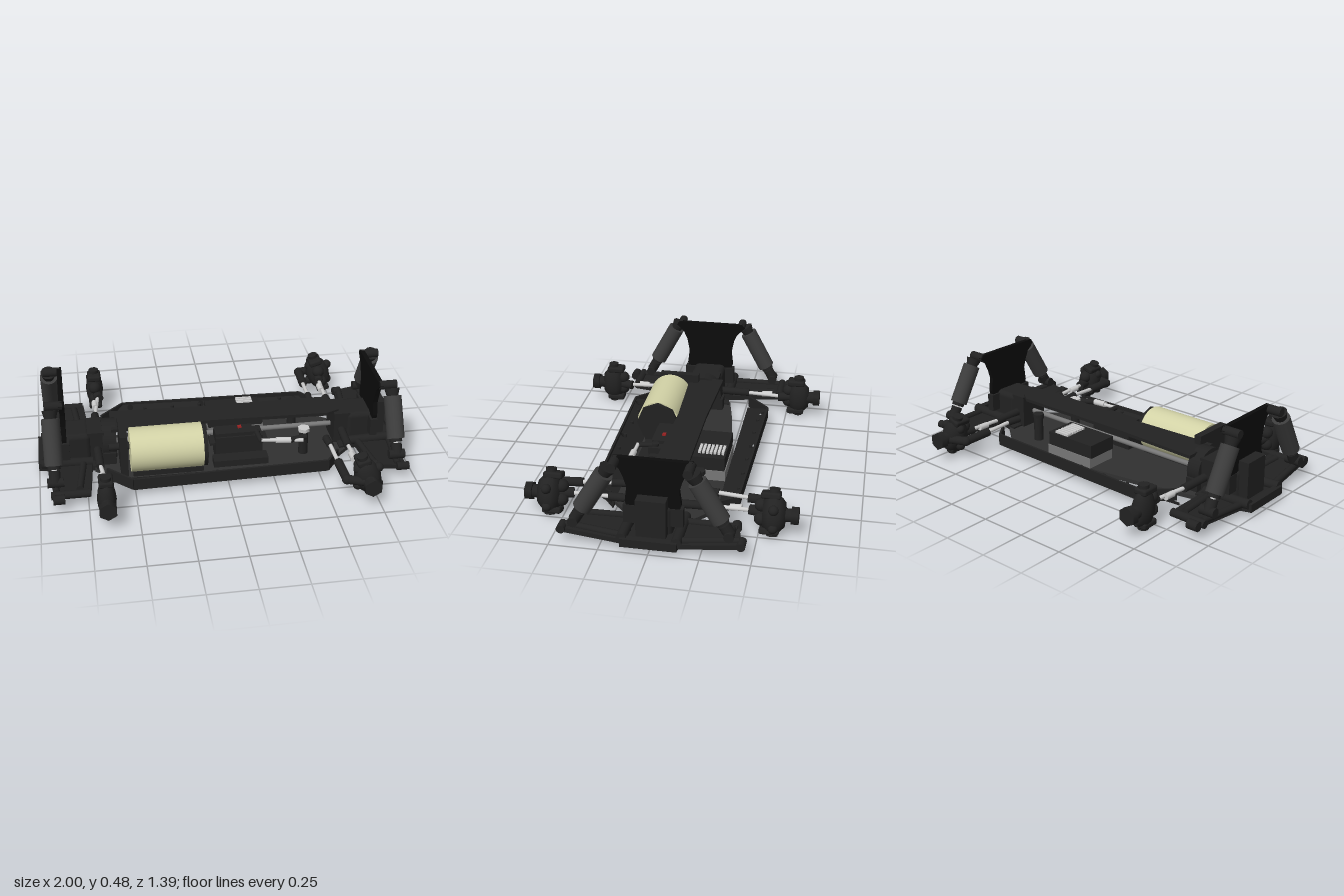
import * as THREE from 'three';
import { RoundedBoxGeometry } from 'three/addons/geometries/RoundedBoxGeometry.js';

const mat = (color) => new THREE.MeshStandardMaterial({ color });
const M = {
  black: mat(0x222222), deep: mat(0x0c0c0c), floor: mat(0x303030), shock: mat(0x3c3c3c),
  silver: mat(0xcccccc), khaki: mat(0xd2d2a6), grey: mat(0x777777), red: mat(0x992222),
};
const V = (x, y, z) => new THREE.Vector3(x, y, z);

export function createModel() {
  const root = new THREE.Group();
  root.name = 'buggyChassis';

  const add = (name, geo, m, parent = root) => {
    const mesh = new THREE.Mesh(geo, m);
    mesh.name = name;
    parent.add(mesh);
    return mesh;
  };
  // box given by its ranges
  const box = (name, x0, x1, y0, y1, z0, z1, m = M.black, parent = root) => {
    const mesh = add(name, new THREE.BoxGeometry(x1 - x0, y1 - y0, z1 - z0), m, parent);
    mesh.position.set((x0 + x1) / 2, (y0 + y1) / 2, (z0 + z1) / 2);
  };
  const soft = (name, x, y, z, w, h, d, r, parent) => {
    const mesh = add(name, new RoundedBoxGeometry(w, h, d, 2, r), M.black, parent);
    mesh.position.set(x, y, z);
  };
  // round bar between two points
  const rod = (name, a, b, r, m = M.black, parent = root, r2 = r, seg = 16) => {
    const dir = b.clone().sub(a);
    const mesh = add(name, new THREE.CylinderGeometry(r2, r, dir.length(), seg), m, parent);
    mesh.position.copy(a).add(b).multiplyScalar(0.5);
    mesh.quaternion.setFromUnitVectors(V(0, 1, 0), dir.normalize());
  };
  const ball = (name, p, r, parent) => {
    add(name, new THREE.SphereGeometry(r, 14, 10), M.black, parent).position.copy(p);
  };
  const shapeOf = (pts, holes = []) => {
    const s = new THREE.Shape(pts.map((p) => new THREE.Vector2(p[0], p[1])));
    for (const [x, y, r] of holes) s.holes.push(new THREE.Path().absarc(x, y, r, 0, Math.PI * 2, true));
    return s;
  };
  // flat plate from an (x, z) outline, optionally raised by a rule
  const plan = (name, pts, y, h, m = M.black, parent = root, holes = [], lift = null) => {
    const s = shapeOf(pts.map(([x, z]) => [x, -z]), holes.map(([x, z, r]) => [x, -z, r]));
    const g = new THREE.ExtrudeGeometry(s, { depth: h, bevelEnabled: false, curveSegments: 8 });
    g.rotateX(-Math.PI / 2).translate(0, y, 0);
    if (lift) {
      const p = g.attributes.position;
      for (let i = 0; i < p.count; i++) p.setY(i, p.getY(i) + lift(p.getX(i), p.getZ(i)));
      g.computeVertexNormals();
    }
    add(name, g, m, parent);
  };
  // upright plate from a (z, y) outline, extruded along x
  const upright = (name, pts, x, t, m, parent) => {
    const g = new THREE.ExtrudeGeometry(shapeOf(pts), { depth: t, bevelEnabled: false });
    g.rotateY(-Math.PI / 2).translate(x + t / 2, 0, 0);
    return add(name, g, m, parent);
  };
  const mirrorPts = (half) => [...half, ...half.map(([a, b]) => [-a, b]).reverse()];

  // floor pan, end plates and upper deck
  plan('floorPan', [[-0.7, -0.15], [-0.5, -0.19], [-0.04, -0.26], [0.55, -0.27], [0.72, -0.13], [0.78, -0.11],
    [0.78, 0.11], [0.72, 0.13], [0.57, 0.27], [-0.5, 0.29], [-0.7, 0.15]], 0.01, 0.022, M.floor);
  for (const s of [-1, 1]) {
    plan('endPlate', [[s * 0.66, -0.15], [s * 0.76, -0.13], [s * 0.88, -0.11], [s * 0.92, -0.15], [s * 0.99, -0.14],
      [s * 0.99, 0.14], [s * 0.92, 0.15], [s * 0.88, 0.11], [s * 0.76, 0.13], [s * 0.66, 0.15]],
    0.011, 0.03, M.black, root, [], (x) => Math.max(0, Math.abs(x) - 0.7) * 0.1);
    box('bumperLip', Math.min(s * 0.965, s), Math.max(s * 0.965, s), 0.04, 0.085, -0.14, 0.14);
  }
  plan('upperDeck', [[-0.6, -0.12], [-0.1, -0.1], [0.6, -0.1], [0.67, -0.05], [0.67, 0.05], [0.6, 0.08], [-0.1, 0.06], [-0.6, 0.08]],
    0.208, 0.018);

  // sloped side rails with mounting holes
  for (const s of [-1, 1]) {
    const rail = new THREE.Group();
    rail.name = 'sideRail';
    root.add(rail);
    plan('railPlate', [[-0.65, s * 0.265], [-0.51, s * 0.4], [-0.3, s * 0.4], [0.54, s * 0.375], [0.62, s * 0.265]],
      0.014, 0.016, M.black, rail, [[-0.465, s * 0.375, 0.017], [-0.05, s * 0.367, 0.017], [0.505, s * 0.35, 0.017]],
      (x, z) => (Math.abs(z) - 0.265) * 0.55);
    // outer flange along the rail
    for (const [a, b] of [[[-0.51, 0.4], [0.54, 0.375]], [[-0.64, 0.275], [-0.51, 0.4]], [[0.54, 0.375], [0.615, 0.275]]]) {
      const len = Math.hypot(b[0] - a[0], b[1] - a[1]);
      const wall = add('railFlange', new THREE.BoxGeometry(len, 0.065, 0.012), M.black, rail);
      wall.position.set((a[0] + b[0]) / 2, 0.078, s * (a[1] + b[1]) / 2);
      wall.rotation.y = -s * Math.atan2(b[1] - a[1], b[0] - a[0]);
    }
    for (let i = 0; i < 6; i++) {
      const x = -0.38 + i * 0.16;
      rod('railScrew', V(x, 0.07, s * 0.36), V(x, 0.092, s * 0.36), 0.01, M.black, rail);
    }
  }

  // motor with end bells and mount
  rod('motorCan', V(-0.51, 0.155, 0.18), V(-0.12, 0.155, 0.18), 0.12, M.khaki, root, 0.12, 40);
  rod('motorEndBell', V(-0.12, 0.155, 0.18), V(-0.098, 0.155, 0.18), 0.12, M.black, root, 0.12, 8);
  box('motorMount', -0.565, -0.525, 0.03, 0.275, 0.02, 0.25);
  box('motorCradle', -0.5, -0.12, 0.03, 0.06, 0.1, 0.26);
  rod('motorShaft', V(-0.62, 0.155, 0.14), V(-0.51, 0.155, 0.14), 0.02);

  // spur gear cover
  rod('gearCover', V(-0.65, 0.13, 0), V(-0.575, 0.13, 0), 0.11, M.black, root, 0.11, 24);
  box('gearCoverFoot', -0.65, -0.58, 0.03, 0.1, -0.12, 0.12);

  // speed controller with a vented top
  box('controllerBase', -0.04, 0.27, 0.032, 0.09, -0.265, -0.08, M.grey);
  box('controllerCase', -0.045, 0.265, 0.09, 0.165, -0.26, -0.08);
  for (let i = 0; i < 7; i++) box('coolingFin', 0.135, 0.225, 0.165, 0.178, -0.25 + i * 0.021, -0.236 + i * 0.021, M.silver);

  // servo, linkage and posts
  box('servoCase', -0.04, 0.22, 0.032, 0.17, 0.06, 0.165);
  box('servoFlange', -0.07, 0.25, 0.12, 0.135, 0.07, 0.155);
  box('servoTop', -0.04, 0.17, 0.17, 0.19, 0.07, 0.155);
  box('servoLead', 0.09, 0.11, 0.19, 0.2, 0.09, 0.11, M.red);
  box('servoBracket', -0.06, 0.24, 0.032, 0.07, 0.165, 0.24);
  rod('servoShaft', V(0.19, 0.15, 0.13), V(0.19, 0.185, 0.13), 0.02);
  rod('servoHorn', V(0.19, 0.175, 0.13), V(0.2, 0.17, 0.23), 0.014);
  rod('steeringLink', V(0.2, 0.175, 0.225), V(0.43, 0.16, 0.235), 0.01, M.silver);
  rod('linkTurnbuckle', V(0.28, 0.171, 0.23), V(0.36, 0.166, 0.233), 0.017, M.silver);
  rod('linkEnd', V(0.36, 0.166, 0.233), V(0.45, 0.16, 0.2), 0.016);
  for (const z of [-0.155, 0.155]) {
    rod('steeringPost', V(0.45, 0.03, z), V(0.45, 0.17, z), 0.026);
    rod('postCap', V(0.45, 0.17, z), V(0.45, 0.19, z), 0.034, z > 0 ? M.silver : M.black, root, 0.034, 6);
  }
  rod('driveShaft', V(-0.58, 0.11, 0), V(0.7, 0.11, 0), 0.014, M.grey);

  // wheel hub: caster-tilted oval carrier with axle and hex
  const addHub = (g, sx, s, front) => {
    const hub = new THREE.Group();
    hub.name = 'wheelHub';
    hub.position.set(sx * (front ? 0.7 : 0.66), 0.125, s * 0.575);
    g.add(hub);
    const H = (x, y, z) => V(sx * x, y, s * z);
    const carrier = new THREE.Group();
    carrier.name = 'hubCarrier';
    carrier.rotation.z = front ? 0.3 : 0;
    hub.add(carrier);
    const profile = [[0, -0.06], [0.7, -0.055], [0.95, -0.025], [1, 0.005], [0.85, 0.03], [0.6, 0.055], [0, 0.06]];
    const geo = new THREE.LatheGeometry(profile.map(([r, y]) => new THREE.Vector2(r, y)), 16);
    geo.rotateX(s * Math.PI / 2).scale(front ? 0.07 : 0.05, 0.105, 1);
    add('hubBody', geo, M.black, carrier);
    rod('kingpin', V(0, -0.112, s * -0.005), V(0, 0.13, s * -0.005), 0.028, M.black, carrier);
    for (const y of [-0.085, 0.095]) soft('carrierArm', 0, y, s * -0.02, 0.075, 0.035, 0.1, 0.012, carrier);
    for (const y of [-0.03, 0.04]) ball('carrierLug', V(0, y, s * -0.065), 0.035, carrier);
    rod('axle', H(0, 0, 0.04), H(0, 0, 0.09), 0.034, M.black, hub);
    rod('wheelHex', H(0, 0, 0.085), H(0, 0, 0.122), 0.05, M.black, hub, 0.05, 6);
    if (front) {
      for (const [x, y] of [[0.055, 0.05], [0.06, -0.05], [-0.055, 0.05], [-0.05, -0.05]]) ball('knuckleLug', H(x, y, 0), 0.026, hub);
    }
  };

  // suspension at each end: sx = -1 rear, +1 front
  const end = (sx) => {
    const g = new THREE.Group();
    const front = sx > 0;
    g.name = front ? 'frontSuspension' : 'rearSuspension';
    root.add(g);
    const top = front ? 0.46 : 0.485;
    const sp = (name, x0, x1, ...r) => box(name, Math.min(sx * x0, sx * x1), Math.max(sx * x0, sx * x1), ...r, M.black, g);

    // gearbox and shock tower
    soft('gearbox', sx * 0.795, 0.12, 0, 0.17, 0.19, 0.19, 0.03, g);
    sp('gearboxCover', 0.87, 0.93, 0.05, 0.265, -0.075, 0.075);
    sp('deckMount', 0.64, 0.73, 0.03, 0.215, -0.085, 0.085);
    const tower = [[0.195, top], [0.21, top - 0.02], [0.165, top - 0.065], [0.145, top - 0.11], [0.13, 0.3], [0.14, 0.22], [0.11, 0.12]];
    upright('shockTower', mirrorPts(tower), sx * 0.855, 0.025, M.deep, g);
    sp('towerFoot', 0.83, 0.87, 0.1, 0.2, -0.15, 0.15);

    for (const s of [-1, 1]) {
      const P = (x, y, z) => V(sx * x, y, s * z);
      // lower arm with hinge barrels
      const arm = front
        ? [[0.74, 0.11], [0.765, 0.41], [0.95, 0.45], [0.975, 0.12]]
        : [[0.71, 0.12], [0.735, 0.45], [0.92, 0.45], [0.95, 0.12]];
      plan('lowerArm', arm.map(([x, z]) => [sx * x, s * z]), 0.04, 0.025, M.black, g, [], (x, z) => (Math.abs(z) - 0.12) * 0.06);
      rod('armRib', P(0.76, 0.07, 0.14), P(0.79, 0.085, 0.41), 0.018, M.black, g);
      rod('armRib', P(0.94, 0.07, 0.14), P(0.91, 0.085, 0.43), 0.018, M.black, g);
      rod('innerHinge', P(0.71, 0.07, 0.135), P(0.985, 0.08, 0.135), 0.026, M.black, g);
      rod('outerHinge', P(front ? 0.9 : 0.74, 0.08, 0.445), P(front ? 0.965 : 0.94, 0.08, 0.445), 0.022, M.black, g);
      if (front) rod('armCorner', P(0.755, 0.08, 0.4), P(0.8, 0.08, 0.405), 0.024, M.black, g);
      else rod('hingeLug', P(0.87, 0.08, 0.485), P(0.93, 0.08, 0.485), 0.026, M.black, g);

      // shock absorber
      const a = P(0.915, top - 0.025, 0.2), b = P(0.915, 0.12, 0.385);
      const at = (t) => a.clone().lerp(b, t);
      rod('shockCap', at(0.03), at(0.15), 0.042, M.black, g, 0.03);
      rod('shockBody', at(0.14), at(0.77), 0.048, M.shock, g, 0.048, 20);
      rod('shockCollar', at(0.77), at(0.82), 0.034, M.black, g);
      rod('shockRod', at(0.8), at(0.95), 0.014, M.silver, g);
      rod('shockFoot', at(0.84), b, 0.03, M.black, g);
      rod('shockTopPin', P(0.85, top - 0.022, 0.185), P(0.945, top - 0.022, 0.185), 0.024, M.black, g);
      rod('shockLowerPin', P(0.87, 0.12, 0.385), P(0.955, 0.12, 0.385), 0.026, M.black, g);

      // half shaft
      const hx = front ? 0.7 : 0.66;
      rod('shaftCup', P(0.68, 0.12, 0.1), P(0.675, 0.12, 0.27), 0.022, M.black, g);
      rod('halfShaft', P(0.675, 0.12, 0.25), P(hx - 0.015, 0.125, 0.5), 0.011, M.silver, g);
      rod('shaftSleeve', P(0.67, 0.122, 0.35), P(0.67, 0.124, 0.41), 0.017, M.silver, g);
      rod('shaftJoint', P(hx - 0.02, 0.125, 0.45), P(hx, 0.125, 0.56), 0.026, M.black, g);

      addHub(g, sx, s, front);
      if (front) {
        // steering arm and tie rod
        rod('steeringArm', P(0.68, 0.12, 0.62), P(0.585, 0.125, 0.59), 0.024, M.black, g);
        ball('steeringElbow', P(0.585, 0.125, 0.59), 0.027, g);
        rod('steeringArmTip', P(0.585, 0.125, 0.59), P(0.578, 0.13, 0.43), 0.024, M.black, g);
        rod('tieRod', P(0.578, 0.13, 0.44), P(0.572, 0.14, 0.27), 0.011, M.silver, g);
        rod('tieRodEnd', P(0.572, 0.14, 0.28), P(0.565, 0.14, 0.2), 0.02, M.black, g);
      }
    }
  };
  end(-1);
  end(1);
  return root;
}
